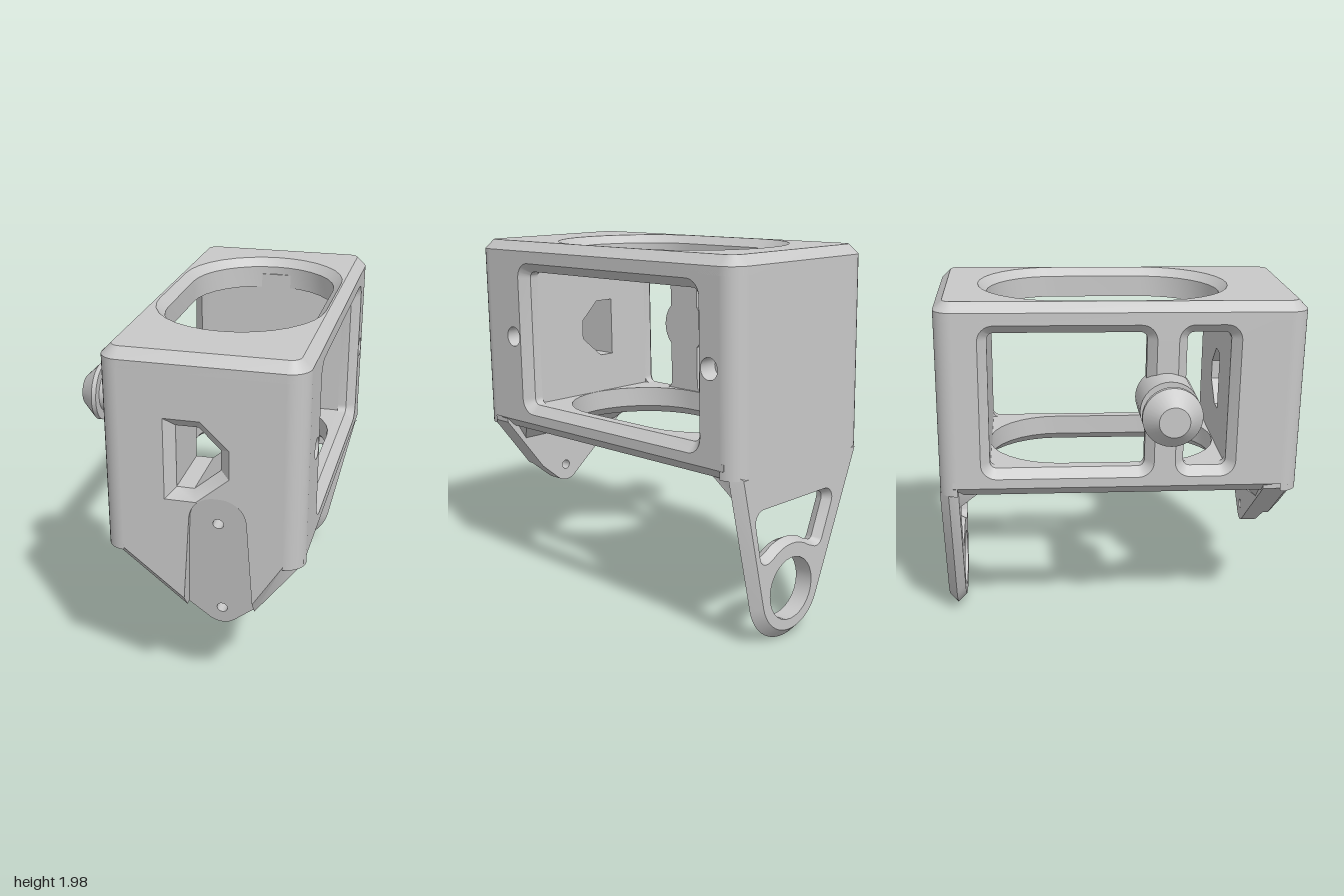
import * as THREE from 'three';
import { toCreasedNormals } from 'three/addons/utils/BufferGeometryUtils.js';

const V = (x, y) => new THREE.Vector2(x, y);

// Counter-clockwise polygon with circular corners; each corner is [x, y, radius]
function roundPoly(corners, steps = 8) {
  const out = [], n = corners.length;
  corners.forEach(([x, y, r = 0], i) => {
    const v = V(x, y);
    if (!r) return out.push(v);
    const p = corners[(i + n - 1) % n], q = corners[(i + 1) % n];
    const a = V(p[0] - x, p[1] - y).normalize(), b = V(q[0] - x, q[1] - y).normalize();
    const half = Math.acos(THREE.MathUtils.clamp(a.dot(b), -1, 1)) / 2;
    const d = r / Math.tan(half), w = Math.sin(half);
    const A = v.clone().addScaledVector(a, d), B = v.clone().addScaledVector(b, d);
    for (let k = 0; k <= steps; k++) {
      const t = k / steps, c0 = (1 - t) ** 2, c1 = 2 * w * t * (1 - t), c2 = t * t;
      out.push(V(c0 * A.x + c1 * v.x + c2 * B.x, c0 * A.y + c1 * v.y + c2 * B.y).divideScalar(c0 + c1 + c2));
    }
  });
  return out.filter((p, i) => p.distanceTo(out[(i + 1) % out.length]) > 1e-4);
}

const rect = (x0, x1, y0, y1, r = 0) => roundPoly([[x0, y0, r], [x1, y0, r], [x1, y1, r], [x0, y1, r]]);

function arc(cx, cy, r, from, to, n) {
  return Array.from({ length: n + 1 }, (_, i) => {
    const a = THREE.MathUtils.degToRad(from + (to - from) * i / n);
    return V(cx + r * Math.cos(a), cy + r * Math.sin(a));
  });
}
const circle = (cx, cy, r, n = 28) => arc(cx, cy, r, 0, 360, n).slice(0, n);

// Moves a loop inwards by d
function inset(pts, d) {
  const n = pts.length;
  return pts.map((p, i) => {
    const e = p.clone().sub(pts[(i + n - 1) % n]).normalize();
    const f = pts[(i + 1) % n].clone().sub(p).normalize();
    const k = d / (1 + e.dot(f));
    return V(p.x - (e.y + f.y) * k, p.y + (e.x + f.x) * k);
  });
}

// Loop levels from back to front, given as [inset, depth]
const levels = (pts, ...profile) => profile.map(([d, z]) => [inset(pts, d), z]);

// Plate with chamfered rim and holes; each rim is a list of [loop, depth]
function slab(outer, holes = [], move = null) {
  const pos = [];
  const tri = (...vs) => vs.forEach(([p, z]) => pos.push(p.x, p.y, z));
  const rim = (lv, flip) => {
    for (let k = 0; k + 1 < lv.length; k++) {
      const [lo, z0] = lv[k], [hi, z1] = lv[k + 1];
      lo.forEach((p, i) => {
        const j = (i + 1) % lo.length;
        const a = [p, z0], b = [lo[j], z0], c = [hi[j], z1], d = [hi[i], z1];
        if (flip) { tri(a, c, b); tri(a, d, c); } else { tri(a, b, c); tri(a, c, d); }
      });
    }
  };
  const cap = (at, front) => {
    const o = outer.at(at), hs = holes.map(h => h.at(at)[0]), all = [o[0], ...hs].flat();
    for (const f of THREE.ShapeUtils.triangulateShape(o[0].slice(), hs.map(h => h.slice()))) {
      const t = f.map(i => all[i]);
      if ((THREE.ShapeUtils.area(t) > 0) !== front) t.reverse();
      tri(...t.map(p => [p, o[1]]));
    }
  };
  rim(outer, false);
  holes.forEach(h => rim(h, true));
  cap(0, false);
  cap(-1, true);
  if (move) for (let i = 0; i < pos.length; i += 3) pos[i + 2] = move(pos[i + 1], pos[i + 2]);
  const g = new THREE.BufferGeometry();
  g.setAttribute('position', new THREE.Float32BufferAttribute(pos, 3));
  return toCreasedNormals(g, 0.5);
}

export function createModel() {
  const grey = new THREE.MeshStandardMaterial({ color: 0xc8c8c8 });
  grey.name = 'machinedGrey';
  const body = new THREE.Group();
  body.name = 'bracket';
  const add = (name, geo, rot = [0, 0, 0], at = [0, 0, 0]) => {
    const m = new THREE.Mesh(geo, grey);
    m.name = name;
    m.rotation.set(...rot);
    m.position.set(...at);
    body.add(m);
  };
  const H = Math.PI / 2;
  const X0 = -0.333, X1 = 0.677, Z0 = -1, Z1 = 0.972, R = 0.1;

  // Thick top and bottom plates with long oval openings
  const oval = s => rect(-0.2675, 0.6175, 0.087 * s - 0.6925, 0.087 * s + 0.6925, 0.4425);
  add('topPlate', slab(
    levels(rect(X0, X1, -Z1, -Z0, R), [0.085, 1.798], [0.085, 1.87], [0, 1.87], [0, 1.913], [0.05, 1.963]),
    [levels(oval(1), [0.045, 1.798], [0.045, 1.918], [0, 1.963])]), [-H, 0, 0]);
  add('bottomPlate', slab(
    levels(rect(X0, X1, -0.925, 0.83), [0.085, -1.047], [0.085, -0.98], [0, -0.98], [0, -0.945], [0.055, -0.89]),
    [levels(oval(-1), [0.045, -1.047], [0.045, -0.935], [0, -0.89])]), [H, 0, 0]);

  // Rounded vertical corners
  [[1, 1], [1, -1], [-1, -1], [-1, 1]].forEach(([sx, sz], i) =>
    add('cornerPost', new THREE.CylinderGeometry(R, R, 1.013, 8, 1, false, i * H, H), [0, 0, 0],
      [sx > 0 ? X1 - R : X0 + R, 1.4065, sz > 0 ? Z1 - R : Z0 + R]));

  // Side walls with chamfered windows
  const frame = (a, b, w) => levels(rect(a, b, 0.998, 1.847, 0.085), [0.049, w - R], [0.049, w - 0.05], [0, w]);
  const hole = (x, y, r, z0, z1) => levels(circle(x, y, r), [0, z0], [0, z1]);
  add('leftWall', slab(
    levels(rect(-0.872, 0.9, 0.945, 1.913), [0, X1 - R], [0, X1]),
    [frame(-0.613, 0.773, X1), hole(-0.675, 1.43, 0.055, X1 - R, X1), hole(0.835, 1.43, 0.055, X1 - R, X1)]),
  [0, H, 0]);
  add('rightWall', slab(
    levels(rect(-0.9, 0.872, 0.945, 1.913), [0, -X0 - R], [0, -X0]),
    [frame(-0.773, 0.165, -X0), frame(0.28, 0.613, -X0)]), [0, -H, 0]);

  // Front wall with tapered skirt, angled window and tongue slot
  const zb = 0.777, lift = [0, 0.015, 0], S0 = X0 + 0.008, S1 = X1 - 0.008;
  const frontLoop = c => roundPoly([
    [X0 + R, 1.898], [X0 + R, 0.93], [S0 + c * 1.5, 0.93], [S0 + c * 1.5, 0.9], [0.078, 0.575 + c * 1.2],
    [0.117, 1.23, 0.128], [0.387, 1.23, 0.128],
    [0.428, 0.585 + c * 1.3], [S1 - c * 1.5, 0.9], [S1 - c * 1.5, 0.93], [X1 - R, 0.93], [X1 - R, 1.898]]);
  const windowLoop = roundPoly([[-0.013, 1.2], [0.145, 1.2], [0.31, 1.34], [0.31, 1.49], [0.17, 1.625], [-0.013, 1.625]]);
  add('frontWall', slab(
    [[frontLoop(0), zb], [frontLoop(0), Z1 - 0.06], [frontLoop(0.06), Z1]],
    [levels(windowLoop, [0.05, zb], [0.05, Z1 - 0.05], [0, Z1])]), [0, 0, 0], lift);

  // Solid end blocks behind the front and back walls
  const blockLoop = rect(X0 + R, X1 - R, 0.96, 1.86);
  add('frontBlock', slab(levels(blockLoop, [0, 0.564], [0, zb]),
    [levels(windowLoop, [0.05, 0.564], [0.05, zb])]), [0, 0, 0], lift);
  add('backBlock', slab(levels(blockLoop, [0, Z0 + R], [0, -0.724])), [0, 0, 0], lift);

  // Sloping tongue set into the slot
  const tongueLoop = roundPoly([[0.25, 0.435, 0.1], [0.428, 0.585], [0.387, 1.23, 0.128], [0.117, 1.23, 0.128], [0.078, 0.575]]);
  add('frontTongue', slab(levels(tongueLoop, [0, zb], [0, Z1]),
    [hole(0.252, 1.085, 0.027, zb, Z1), hole(0.252, 0.56, 0.027, zb, Z1)],
    (y, z) => z > 0.9 ? z - 0.14 * (1.23 - y) : z), [0, 0, 0], lift);

  // Back wall and hanging leg with ring and cut-out
  add('backWall', slab(levels(rect(X0 + R, X1 - R, 0.9, 1.913), [0, Z0], [0, Z0 + R])));
  const L0 = X0 + 0.014, L1 = X1 - 0.014;
  const legLoop = [V(L0, 0.965), V(L0, 0.9), ...arc(0.25, 0.27, 0.27, 204.2, 346.8, 20), V(L1, 0.9), V(L1, 0.965)];
  const cutLoop = roundPoly([
    [-0.11, 0.74, 0.06], [0.02, 0.43, 0.05],
    ...arc(0.25, 0.27, 0.24, 125, 55, 8).map(p => [p.x, p.y]),
    [0.48, 0.43, 0.05], [0.54, 0.74, 0.06]]);
  add('backLeg', slab(
    levels(legLoop, [0.05, Z0], [0, Z0 + 0.05], [0.05, Z0 + R]),
    [hole(0.25, 0.27, 0.165, Z0, Z0 + R), levels(cutLoop, [0, Z0], [0.025, Z0 + 0.05], [0, Z0 + R])]),
  [0, 0, 0], [0, -0.015, 0]);

  // Sloping gussets under the bottom plate, narrowing with the skirt and the leg
  const gussetLoop = (y, kl, kr) => {
    const a = X0 + 0.06, b = X1 - 0.06, d = 0.9 - y;
    return [V(a + d * kl, y), V(b - d * kr, y), V(b, 0.92), V(a, 0.92)];
  };
  add('frontGusset', slab([[gussetLoop(0.9, 1.15, 0.7), 0.675], [gussetLoop(0.79, 1.15, 0.7), 0.785]]));
  add('backGusset', slab([[gussetLoop(0.785, 0.45, 0.24), -0.905], [gussetLoop(0.9, 0.45, 0.24), -0.785]]));

  // Grooved peg on the right wall, running through its bar
  const peg = [[0, 0.233], [0.157, 0.233], [0.157, 0.49], [0.105, 0.49], [0.105, 0.575],
    [0.157, 0.575], [0.157, 0.6], [0.08, 0.68], [0, 0.68]].map(p => V(...p));
  add('peg', toCreasedNormals(new THREE.LatheGeometry(peg, 32), 0.5), [0, 0, H], [0, 1.43, 0.22]);

  // The whole bracket leans slightly forward
  body.rotation.x = 0.015;
  const model = new THREE.Group();
  model.name = 'hangingBracket';
  model.add(body);
  return model;
}
